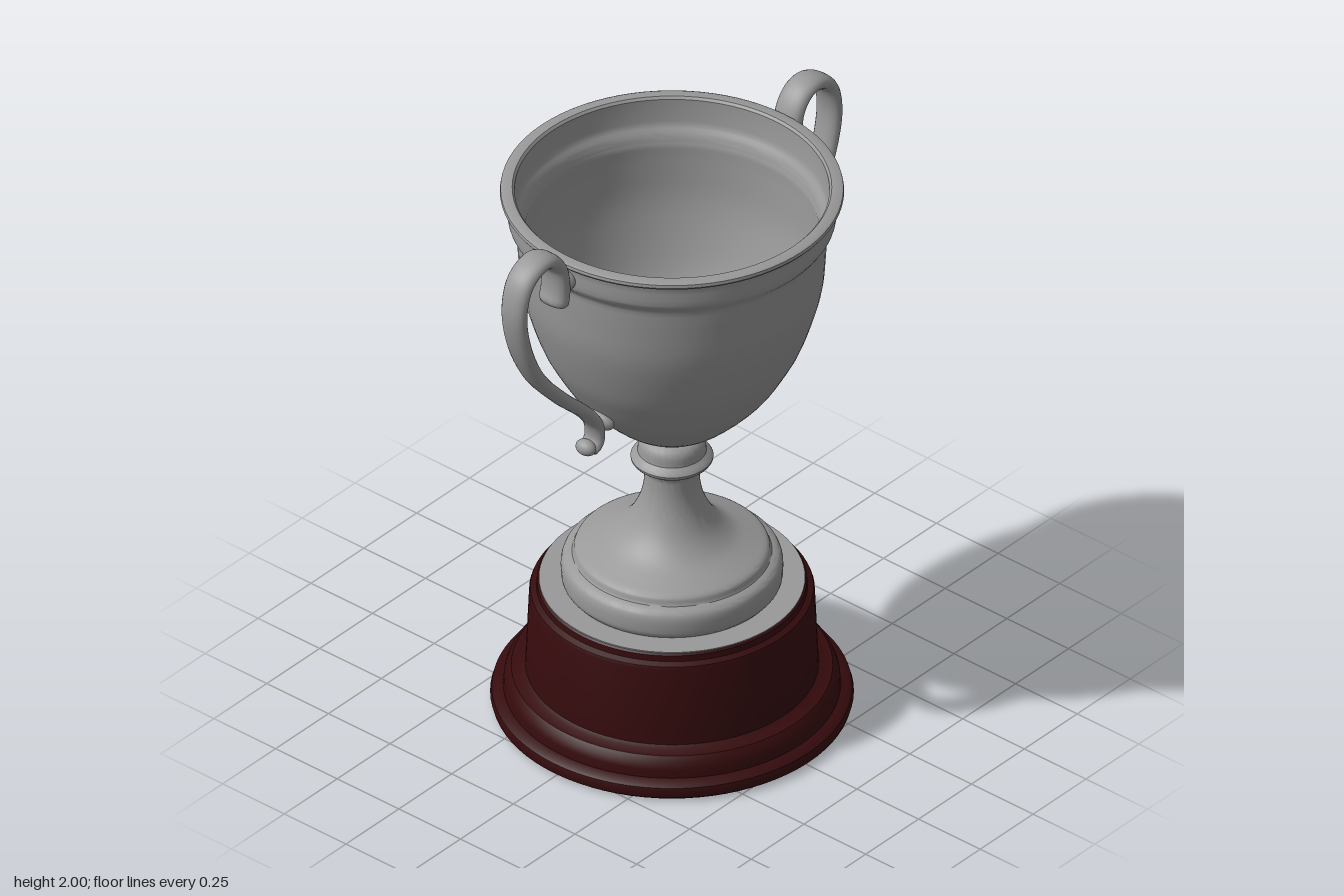
import * as THREE from 'three';
import { toCreasedNormals } from 'three/addons/utils/BufferGeometryUtils.js';

const silver = new THREE.MeshStandardMaterial({ color: 0x999999 });
silver.name = 'silver';
const darkWood = new THREE.MeshStandardMaterial({ color: 0x360b0d });
darkWood.name = 'darkWood';

const vec = (list) => list.map(([x, y]) => new THREE.Vector2(x, y));
const smooth = (list, n) => new THREE.SplineCurve(vec(list)).getPoints(n);

function turned(name, points, material) {
  const geometry = toCreasedNormals(new THREE.LatheGeometry(points, 80), 0.6);
  const mesh = new THREE.Mesh(geometry, material);
  mesh.name = name;
  return mesh;
}

function ellipsoid(name, [y, z], [sx, sy, sz], tilt = 0) {
  const mesh = new THREE.Mesh(new THREE.SphereGeometry(1, 20, 14), silver);
  mesh.name = name;
  mesh.position.set(0, y, z);
  mesh.scale.set(sx, sy, sz);
  mesh.rotation.x = tilt;
  return mesh;
}

// Flattened strap swept along a curve in the yz plane, tapering downwards
function strapGeometry(path, steps, sides) {
  const positions = [], index = [];
  for (let i = 0; i <= steps; i++) {
    const u = i / steps;
    const c = path.getPointAt(u), t = path.getTangentAt(u);
    const end = Math.min(1, u / 0.02, (1 - u) / 0.02);
    const cap = Math.sqrt(Math.max(0, 1 - (1 - end) ** 2));
    const width = THREE.MathUtils.lerp(0.054, 0.036, u) * cap;
    const thick = (0.024 + 0.008 * Math.max(0, 1 - u / 0.12)) * cap
      * THREE.MathUtils.lerp(1.08, 0.85, u);
    for (let j = 0; j < sides; j++) {
      const a = (j / sides) * Math.PI * 2;
      const cx = Math.sign(Math.cos(a)) * Math.abs(Math.cos(a)) ** 0.8;
      const s = Math.sin(a) * thick;
      positions.push(cx * width, c.y + t.z * s, c.z - t.y * s);
      if (i < steps) {
        const p = i * sides + j, q = i * sides + (j + 1) % sides;
        index.push(p, q, p + sides, q, q + sides, p + sides);
      }
    }
  }
  const geometry = new THREE.BufferGeometry();
  geometry.setAttribute('position', new THREE.Float32BufferAttribute(positions, 3));
  geometry.setIndex(index);
  geometry.computeVertexNormals();
  return geometry;
}

function createHandle(name) {
  const handle = new THREE.Group();
  handle.name = name;
  // Points are [z, y], from the upper curl to the lower scroll
  const path = new THREE.CatmullRomCurve3([
    [0.565, 1.765], [0.55, 1.83], [0.56, 1.915], [0.60, 1.962], [0.65, 1.972],
    [0.715, 1.935], [0.744, 1.845], [0.725, 1.71], [0.655, 1.555], [0.535, 1.41],
    [0.41, 1.285], [0.37, 1.225], [0.367, 1.17], [0.39, 1.147], [0.41, 1.16],
  ].map(([z, y]) => new THREE.Vector3(0, y, z)));
  const strap = new THREE.Mesh(strapGeometry(path, 110, 18), silver);
  strap.name = 'handleStrap';
  handle.add(
    strap,
    ellipsoid('upperMount', [1.845, 0.525], [0.05, 0.035, 0.04]),
    ellipsoid('lowerMount', [1.225, 0.342], [0.055, 0.035, 0.026], 0.4),
    ellipsoid('scrollEnd', [1.155, 0.407], [0.036, 0.026, 0.026]),
  );
  return handle;
}

export function createModel() {
  const model = new THREE.Group();
  model.name = 'trophyCup';

  // Stepped round plinth
  model.add(turned('plinth', vec([
    [0, 0], [0.54, 0], [0.555, 0.012], [0.56, 0.03], [0.555, 0.048], [0.545, 0.056],
    [0.52, 0.062], [0.518, 0.09], [0.51, 0.112], [0.495, 0.128], [0.465, 0.133],
    [0.452, 0.14], [0.44, 0.41], [0.436, 0.42], [0.418, 0.428], [0.416, 0.448],
    [0.41, 0.453], [0, 0.453],
  ]), darkWood));

  // Thin metal plate on the plinth
  model.add(turned('plinthPlate', vec([
    [0.41, 0.451], [0.41, 0.457], [0, 0.457],
  ]), silver));

  // Foot, flared stem and collar
  model.add(turned('stem', [
    ...vec([[0.33, 0.456], [0.34, 0.468]]),
    ...smooth([[0.342, 0.48], [0.342, 0.52], [0.332, 0.545], [0.308, 0.557]], 8),
    ...smooth([[0.303, 0.565], [0.295, 0.583], [0.25, 0.603], [0.19, 0.632], [0.14, 0.68],
      [0.105, 0.745], [0.088, 0.81], [0.085, 0.872]], 24),
    ...smooth([[0.09, 0.88], [0.118, 0.898], [0.128, 0.912], [0.12, 0.925], [0.106, 0.938],
      [0.104, 0.965], [0.09, 0.988], [0.06, 0.998]], 16),
    ...vec([[0.03, 1.0]]),
  ], silver));

  // Bowl: outside up to the rim, then the inside down to the bottom
  model.add(turned('bowl', [
    ...vec([[0, 0.99]]),
    ...smooth([[0.05, 0.993], [0.1, 1.012], [0.2, 1.083], [0.307, 1.195], [0.37, 1.295],
      [0.415, 1.39], [0.462, 1.55], [0.475, 1.68], [0.479, 1.77]], 32),
    ...smooth([[0.483, 1.782], [0.5, 1.802], [0.507, 1.822], [0.507, 1.88]], 8),
    ...vec([[0.511, 1.89], [0.524, 1.894], [0.53, 1.902], [0.528, 1.912], [0.52, 1.916],
      [0.492, 1.916], [0.485, 1.908], [0.482, 1.83]]),
    ...smooth([[0.478, 1.815], [0.462, 1.79], [0.455, 1.765]], 6),
    ...smooth([[0.453, 1.76], [0.45, 1.68], [0.437, 1.55], [0.39, 1.39], [0.345, 1.295],
      [0.285, 1.205], [0.185, 1.105], [0.09, 1.04], [0, 1.02]], 32),
  ], silver));

  // Matching handles at front and back
  const frontHandle = createHandle('frontHandle');
  const backHandle = createHandle('backHandle');
  backHandle.rotation.y = Math.PI;
  model.add(frontHandle, backHandle);

  return model;
}
